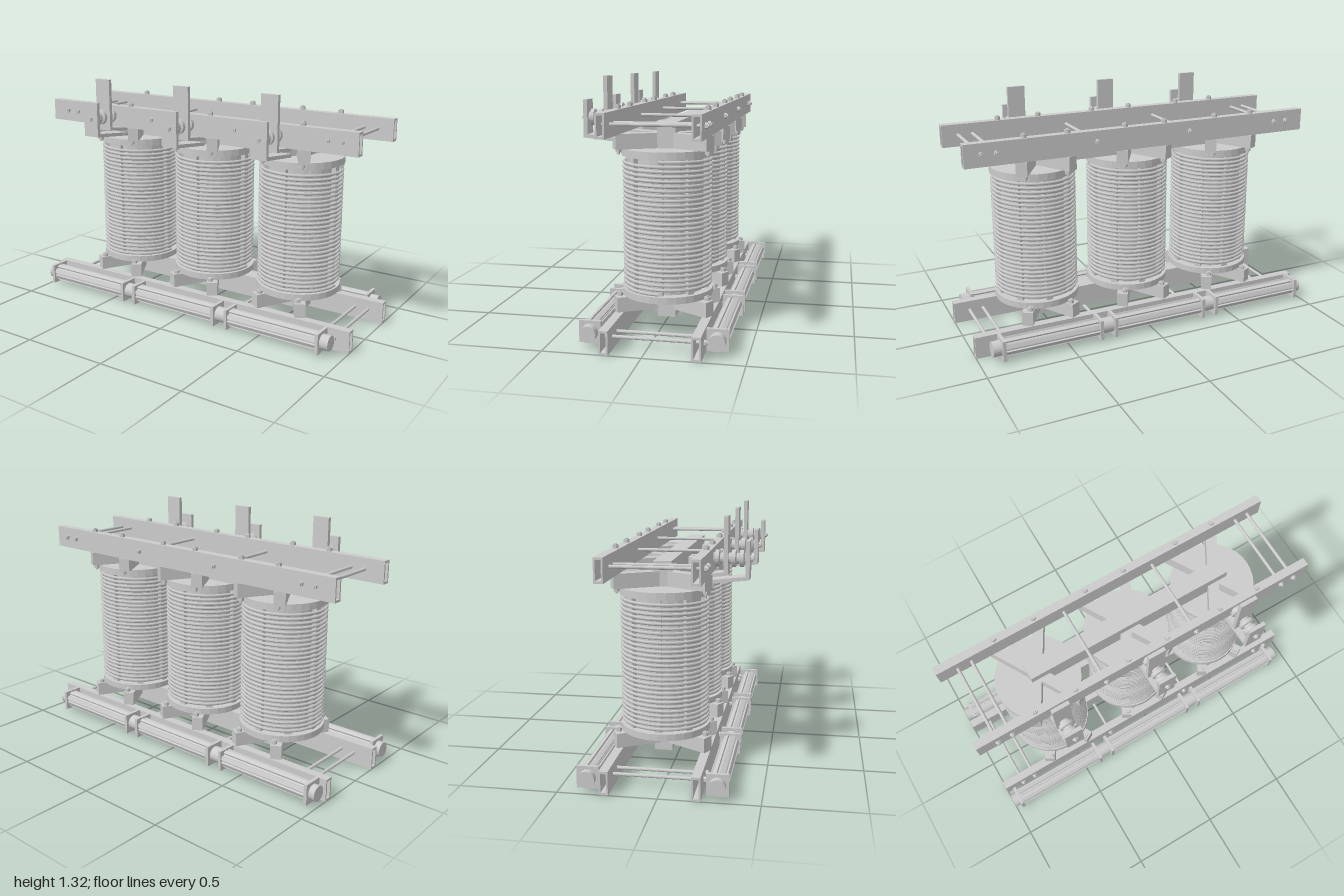
import * as THREE from 'three';

const CZ = -0.04; // depth of the core's centre line
const COLUMNS = [-0.54, 0.008, 0.568];
const BEAM_Z = [0.188, -0.265];

export function createModel() {
  const model = new THREE.Group();
  const smooth = new THREE.MeshStandardMaterial({ color: 0xcccccc });
  const flat = new THREE.MeshStandardMaterial({ color: 0xcccccc, flatShading: true });

  function add(name, geometry, x = 0, y = 0, z = 0, parent = model, material = flat) {
    const mesh = new THREE.Mesh(geometry, material);
    mesh.name = name;
    mesh.position.set(x, y, z);
    parent.add(mesh);
    return mesh;
  }
  const box = (w, h, d) => new THREE.BoxGeometry(w, h, d);
  const rod = (r, len, axis, sides = 12) => {
    const g = new THREE.CylinderGeometry(r, r, len, sides);
    if (axis === 'x') g.rotateZ(Math.PI / 2);
    if (axis === 'z') g.rotateX(Math.PI / 2);
    return g;
  };
  const rectangle = (target, w, h) => {
    target.moveTo(-w / 2, -h / 2);
    target.lineTo(w / 2, -h / 2);
    target.lineTo(w / 2, h / 2);
    target.lineTo(-w / 2, h / 2);
    target.closePath();
    return target;
  };

  // Hollow clamping beams along the top and the bottom
  const section = rectangle(new THREE.Shape(), 0.046, 0.122);
  section.holes.push(rectangle(new THREE.Path(), 0.028, 0.098));
  const beam = new THREE.ExtrudeGeometry(section, { depth: 2, bevelEnabled: false });
  beam.translate(0, 0, -1).rotateY(Math.PI / 2);
  for (const z of BEAM_Z) {
    add('topBeam', beam, 0, 1.101, z);
    add('bottomBeam', beam, 0, 0.061, z);
  }

  // Tie rods joining the front and back beams, with washers and nuts
  for (const y of [1.104, 0.067]) {
    for (const x of [-0.888, -0.808, -0.258, 0.292, 0.833, 0.912]) {
      add('tieRod', rod(0.009, 0.54, 'z'), x, y, CZ);
      for (const s of [-1, 1]) {
        add('tieNut', rod(0.015, 0.014, 'z', 6), x, y, CZ + s * 0.256);
      }
    }
  }

  // Core yokes running through all three columns
  add('topYoke', box(1.213, 0.13, 0.094), 0.02, 1.027, -0.045);
  add('bottomYoke', box(1.213, 0.12, 0.094), 0.02, 0.148, -0.045);

  // Fine helical winding shared by the three coils
  class Helix extends THREE.Curve {
    getPoint(t, out = new THREE.Vector3()) {
      const a = t * 28 * Math.PI * 2;
      return out.set(0.222 * Math.cos(a), 0.252 + 0.66 * t, 0.222 * Math.sin(a));
    }
    getPointAt(t, out) { return this.getPoint(t, out); }
    getTangentAt(t, out) { return this.getTangent(t, out); }
  }
  const winding = new THREE.TubeGeometry(new Helix(), 28 * 28, 0.0085, 6, false);

  COLUMNS.forEach((x) => {
    const coil = new THREE.Group();
    coil.name = 'coil';
    coil.position.set(x, 0, CZ);
    model.add(coil);
    add('winding', winding, 0, 0, 0, coil, smooth);
    add('coilBody', rod(0.19, 0.7, 'y', 24), 0, 0.585, 0, coil);
    for (let i = 0; i < 8; i++) {
      const a = (i * Math.PI) / 4;
      const spacer = add('spacerBar', box(0.026, 0.69, 0.036), 0.2 * Math.cos(a), 0.585, 0.2 * Math.sin(a), coil);
      spacer.rotation.y = -a;
    }
    add('topFlange', rod(0.234, 0.037, 'y', 32), 0, 0.944, 0, coil);
    add('bottomFlange', rod(0.234, 0.035, 'y', 32), 0, 0.224, 0, coil);

    // Diagonal support arms and the vertical bolts through their ends
    for (const sz of [-1, 1]) {
      for (const sx of [-1, 1]) {
        for (const y of [1.001, 0.167]) {
          const arm = add('supportArm', box(0.28, 0.077, 0.06), sx * 0.07, y, sz * 0.121, coil);
          arm.rotation.y = -sx * sz * Math.PI / 3;
        }
        const bx = sx * 0.117, bz = sz * 0.2265;
        add('upperBolt', rod(0.008, 0.25, 'y'), bx, 1.06, bz, coil);
        add('lowerBolt', rod(0.008, 0.215, 'y'), bx, 0.122, bz, coil);
        for (const y of [1.171, 0.953, 0.216]) {
          add('boltNut', rod(0.016, 0.018, 'y', 6), bx, y, bz, coil);
        }
      }
    }
  });

  // Bent connection straps: the side outline is given as (z, y) and extruded across x
  const strap = (points) => {
    const g = new THREE.ExtrudeGeometry(
      new THREE.Shape(points.map(([z, y]) => new THREE.Vector2(-z, y))),
      { depth: 0.098, bevelEnabled: false });
    return g.translate(0, 0, -0.049).rotateY(Math.PI / 2);
  };
  const tallStrap = strap([[0.287, 1.32], [0.287, 1.028], [0.13, 1.008], [0.13, 1.026], [0.266, 1.043], [0.266, 1.32]]);
  const shortStrap = strap([[0.395, 1.2], [0.395, 1.006], [0.13, 0.976], [0.13, 0.995], [0.374, 1.023], [0.374, 1.2]]);

  // Ribbed insulator between the strap and the front beam
  const profile = [[0.001, 0], [0.03, 0]];
  for (let i = 0; i < 4; i++) {
    const s = 0.006 + i * 0.041;
    profile.push([0.028, s], [0.043, s + 0.005], [0.043, s + 0.024], [0.028, s + 0.029]);
  }
  profile.push([0.028, 0.164], [0.001, 0.164]);
  const insulator = new THREE.LatheGeometry(profile.map(([r, y]) => new THREE.Vector2(r, y)), 20);
  insulator.rotateX(Math.PI / 2);

  for (const x of [-0.546, 0, 0.546]) {
    const terminal = new THREE.Group();
    terminal.name = 'terminal';
    terminal.position.x = x;
    model.add(terminal);
    add('tallStrap', tallStrap, 0, 0, 0, terminal);
    add('shortStrap', shortStrap, 0, 0, 0, terminal);
    add('insulator', insulator, 0, 1.108, 0.21, terminal);
    add('terminalBolt', rod(0.009, 0.23, 'z'), 0, 1.108, 0.298, terminal);
    add('terminalNut', rod(0.016, 0.012, 'z', 6), 0, 1.108, 0.401, terminal);
  }

  // Long resistor tubes beside the bottom beams, held in square end plates
  for (const z of [0.288, -0.352]) {
    const bank = new THREE.Group();
    bank.name = 'tubeBank';
    bank.position.set(0, 0.073, z);
    model.add(bank);
    add('longTube', rod(0.042, 1.93, 'x', 24), -0.033, 0, 0, bank);
    for (const [x0, x1] of [[-0.955, -0.4], [-0.313, 0.238], [0.325, 0.876]]) {
      for (const x of [x0, x1]) add('endPlate', box(0.018, 0.114, 0.112), x, 0, 0, bank);
      for (let i = 0; i < 8; i++) {
        const a = (i + 0.5) * Math.PI / 4;
        const rib = add('tubeRib', box(x1 - x0, 0.022, 0.014), (x0 + x1) / 2, 0.043 * Math.sin(a), 0.043 * Math.cos(a), bank);
        rib.rotation.x = -a;
      }
    }
  }

  return model;
}
